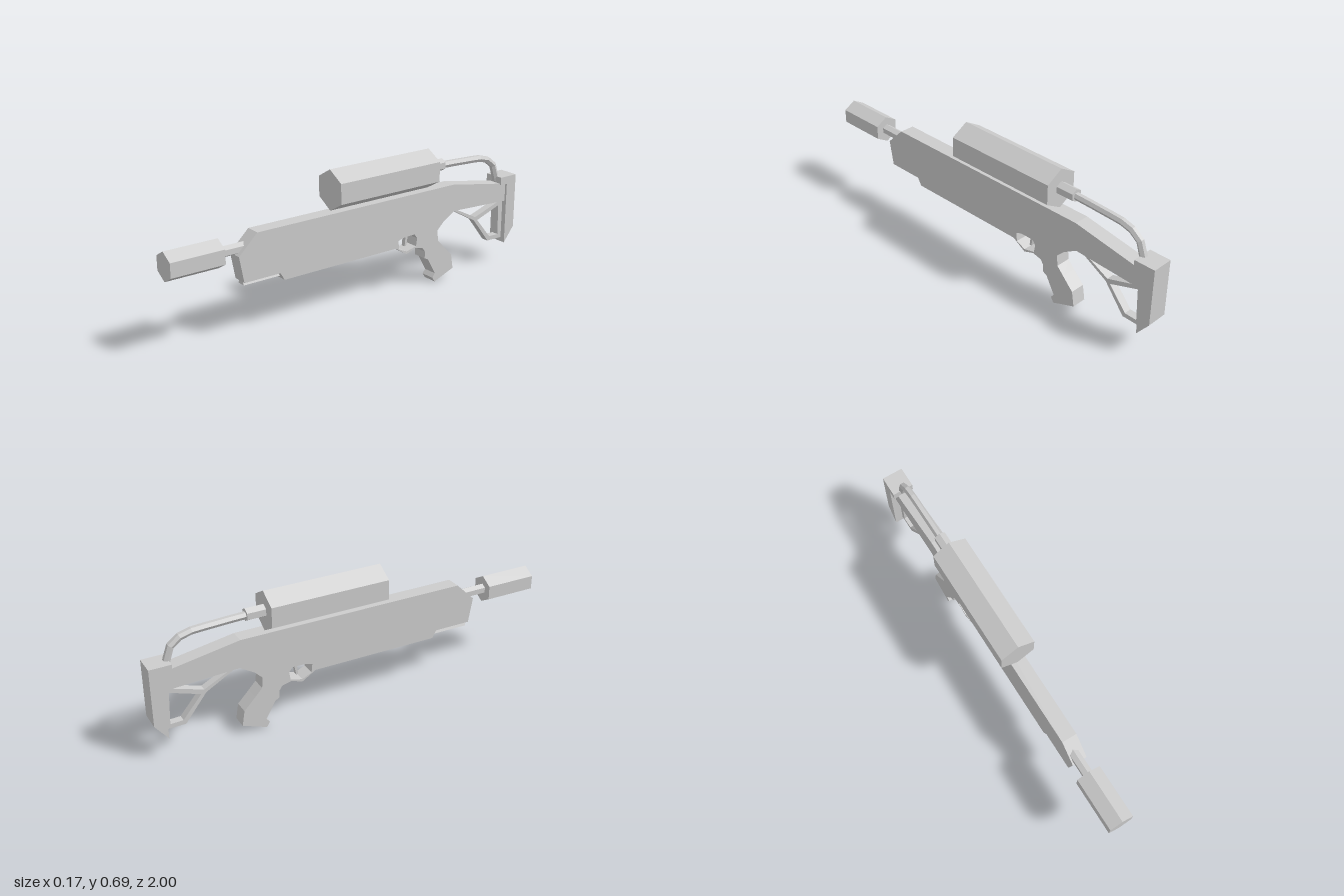
import * as THREE from 'three';

const material = new THREE.MeshStandardMaterial({ color: 0xcccccc, flatShading: true });

function addMesh(parent, name, geometry) {
  const mesh = new THREE.Mesh(geometry, material);
  mesh.name = name;
  parent.add(mesh);
}

const toPoints = (list) => list.map(([a, b]) => new THREE.Vector2(a, b));

// Side profile given as [z, y] points, extruded between two x positions
function sideExtrude(outline, holes, xMin, xMax) {
  const shape = new THREE.Shape(toPoints(outline));
  for (const hole of holes) shape.holes.push(new THREE.Path(toPoints(hole)));
  const geometry = new THREE.ExtrudeGeometry(shape, { depth: xMax - xMin, bevelEnabled: false });
  return geometry.rotateY(-Math.PI / 2).translate(xMax, 0, 0);
}

// Six-sided prism along z with a ridge on top
function hexPrism(radius, zBack, zFront, y) {
  return new THREE.CylinderGeometry(radius, radius, zFront - zBack, 6)
    .rotateX(Math.PI / 2)
    .translate(0, y, (zFront + zBack) / 2);
}

export function createModel() {
  const model = new THREE.Group();
  model.name = 'rifle';

  // Body, trigger guard and grip in one slab
  const bodyOutline = [
    [0.666, 0.4], [0.57, 0.492], [-0.57, 0.492], [-0.935, 0.43], [-0.935, 0.337],
    [-0.58, 0.353], [-0.51, 0.31], [-0.473, 0.273], [-0.478, 0.219], [-0.515, 0.18],
    [-0.57, 0.123], [-0.583, 0.048], [-0.463, 0.003], [-0.447, 0.027], [-0.463, 0.048],
    [-0.415, 0.133], [-0.393, 0.144], [-0.393, 0.18], [-0.377, 0.203], [-0.33, 0.214],
    [-0.275, 0.195], [-0.206, 0.238], [0.436, 0.238], [0.457, 0.275], [0.644, 0.275],
  ];
  const triggerHole = [
    [-0.222, 0.273], [-0.25, 0.283], [-0.323, 0.286], [-0.341, 0.262],
    [-0.334, 0.222], [-0.275, 0.208], [-0.227, 0.23],
  ];
  addMesh(model, 'body', sideExtrude(bodyOutline, [triggerHole], -0.03, 0.044));
  addMesh(model, 'trigger', sideExtrude(
    [[-0.29, 0.29], [-0.305, 0.29], [-0.293, 0.225], [-0.283, 0.225]], [], -0.004, 0.018));

  // Wedge rail under the fore-end
  const rail = new THREE.Shape(toPoints([[-0.022, 0.254], [0.022, 0.254], [0.012, 0.278], [-0.012, 0.278]]));
  addMesh(model, 'underRail',
    new THREE.ExtrudeGeometry(rail, { depth: 0.2, bevelEnabled: false }).translate(0, 0, 0.435));

  // Barrel and muzzle
  addMesh(model, 'barrel', hexPrism(0.026, 0.55, 0.75, 0.424));
  addMesh(model, 'muzzle', hexPrism(0.068, 0.74, 1, 0.423));

  // Tank on top with its rear fitting
  addMesh(model, 'tank', hexPrism(0.098, -0.44, 0.15, 0.591));
  addMesh(model, 'tankFitting', hexPrism(0.031, -0.53, -0.43, 0.594));

  // Hose curving down from the fitting into the stock
  const hosePath = new THREE.CatmullRomCurve3([
    [-0.5, 0.592], [-0.67, 0.586], [-0.82, 0.572], [-0.88, 0.53], [-0.9, 0.47], [-0.915, 0.425],
  ].map(([z, y]) => new THREE.Vector3(0, y, z)));
  addMesh(model, 'hose', new THREE.TubeGeometry(hosePath, 9, 0.018, 6));

  // Open strut between body and butt
  const strutOutline = [
    [-0.57, 0.36], [-0.935, 0.345], [-0.945, 0.13], [-0.842, 0.132], [-0.738, 0.265],
  ];
  const strutHoles = [
    [[-0.62, 0.345], [-0.906, 0.333], [-0.746, 0.281]],
    [[-0.762, 0.262], [-0.908, 0.312], [-0.915, 0.152], [-0.853, 0.154]],
  ];
  addMesh(model, 'stockStrut', sideExtrude(strutOutline, strutHoles, -0.012, 0.026));

  // Butt plate with top lip and slanted foot
  const buttOutline = [
    [-0.895, 0.47], [-1, 0.47], [-1, 0.187], [-0.938, 0.108], [-0.938, 0.43], [-0.895, 0.43],
  ];
  addMesh(model, 'buttPlate', sideExtrude(buttOutline, [], -0.052, 0.052));

  return model;
}
